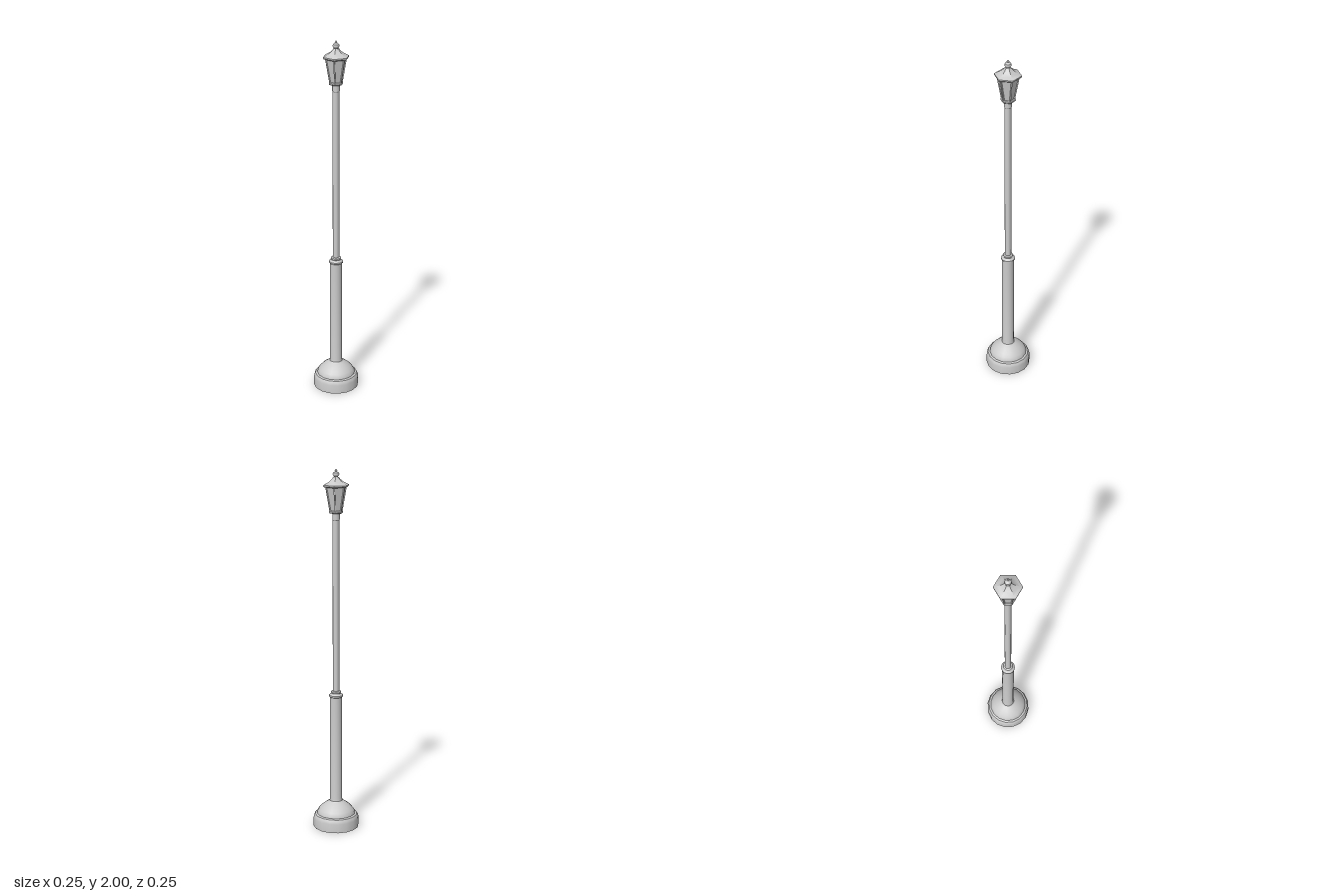
import * as THREE from 'three';
import { toCreasedNormals } from 'three/addons/utils/BufferGeometryUtils.js';

export function createModel() {
  const model = new THREE.Group();
  const material = new THREE.MeshStandardMaterial({ color: 0xcccccc, side: THREE.DoubleSide });

  // Turned part from [radius, height] pairs, with a corner on the x axis
  function turned(name, profile, sides = 16, parent = model) {
    const points = profile.map(([r, y]) => new THREE.Vector2(r, y));
    const lathe = new THREE.LatheGeometry(points, sides, Math.PI / 2);
    const mesh = new THREE.Mesh(toCreasedNormals(lathe, 0.56), material);
    mesh.name = name;
    parent.add(mesh);
    return mesh;
  }

  // Hollow foot: drum, stepped rim and dome
  turned('baseDrum', [[0.127, 0], [0.127, 0.05], [0.124, 0.063], [0.118, 0.073], [0.107, 0.077]]);
  turned('baseDome', [[0.107, 0.077], [0.105, 0.088], [0.096, 0.102], [0.083, 0.116],
    [0.068, 0.129], [0.053, 0.139], [0.042, 0.146], [0.035, 0.149]]);

  // Thick lower column and its collar
  turned('lowerColumn', [[0.042, 0.146], [0.036, 0.152], [0.034, 0.165], [0.034, 0.755]]);
  turned('columnCollar', [[0.034, 0.753], [0.039, 0.757], [0.039, 0.765], [0.03, 0.771],
    [0.027, 0.775], [0.029, 0.78], [0.027, 0.786], [0.018, 0.789]]);

  // Slim upper pole and the sleeve holding the lantern
  turned('upperPole', [[0.018, 0.785], [0.018, 1.73]]);
  turned('poleSleeve', [[0.018, 1.728], [0.02, 1.731], [0.02, 1.772]]);

  // Six-sided lantern
  const lantern = new THREE.Group();
  lantern.name = 'lantern';
  model.add(lantern);
  turned('lanternTray', [[0, 1.766], [0.036, 1.766], [0.04, 1.77], [0.04, 1.777], [0.034, 1.781], [0, 1.781]], 6, lantern);
  turned('lanternPanes', [[0.031, 1.778], [0.054, 1.908]], 6, lantern);

  // Frame bars along the corners
  const up = new THREE.Vector3(0, 1, 0);
  for (let i = 0; i < 6; i++) {
    const a = (i * Math.PI) / 3;
    const low = new THREE.Vector3(Math.cos(a) * 0.033, 1.777, Math.sin(a) * 0.033);
    const high = new THREE.Vector3(Math.cos(a) * 0.057, 1.91, Math.sin(a) * 0.057);
    const bar = new THREE.Mesh(new THREE.BoxGeometry(0.006, low.distanceTo(high), 0.007), material);
    bar.name = 'frameBar' + (i + 1);
    bar.position.copy(low).add(high).multiplyScalar(0.5);
    const tilt = new THREE.Quaternion().setFromUnitVectors(up, high.clone().sub(low).normalize());
    bar.quaternion.copy(tilt).multiply(new THREE.Quaternion().setFromAxisAngle(up, -a));
    lantern.add(bar);
  }

  // Concave roof with a shallow eave
  turned('lanternRoof', [[0, 1.904], [0.066, 1.904], [0.072, 1.909], [0.072, 1.916], [0.054, 1.925],
    [0.037, 1.935], [0.024, 1.946], [0.016, 1.957], [0, 1.957]], 6, lantern);

  // Finial with ball and pointed tip
  turned('finial', [[0.012, 1.952], [0.011, 1.96], [0.016, 1.965], [0.018, 1.972], [0.016, 1.979],
    [0.009, 1.984], [0.006, 1.986], [0.007, 1.99], [0.004, 1.995], [0, 2]], 16, lantern);

  return model;
}
